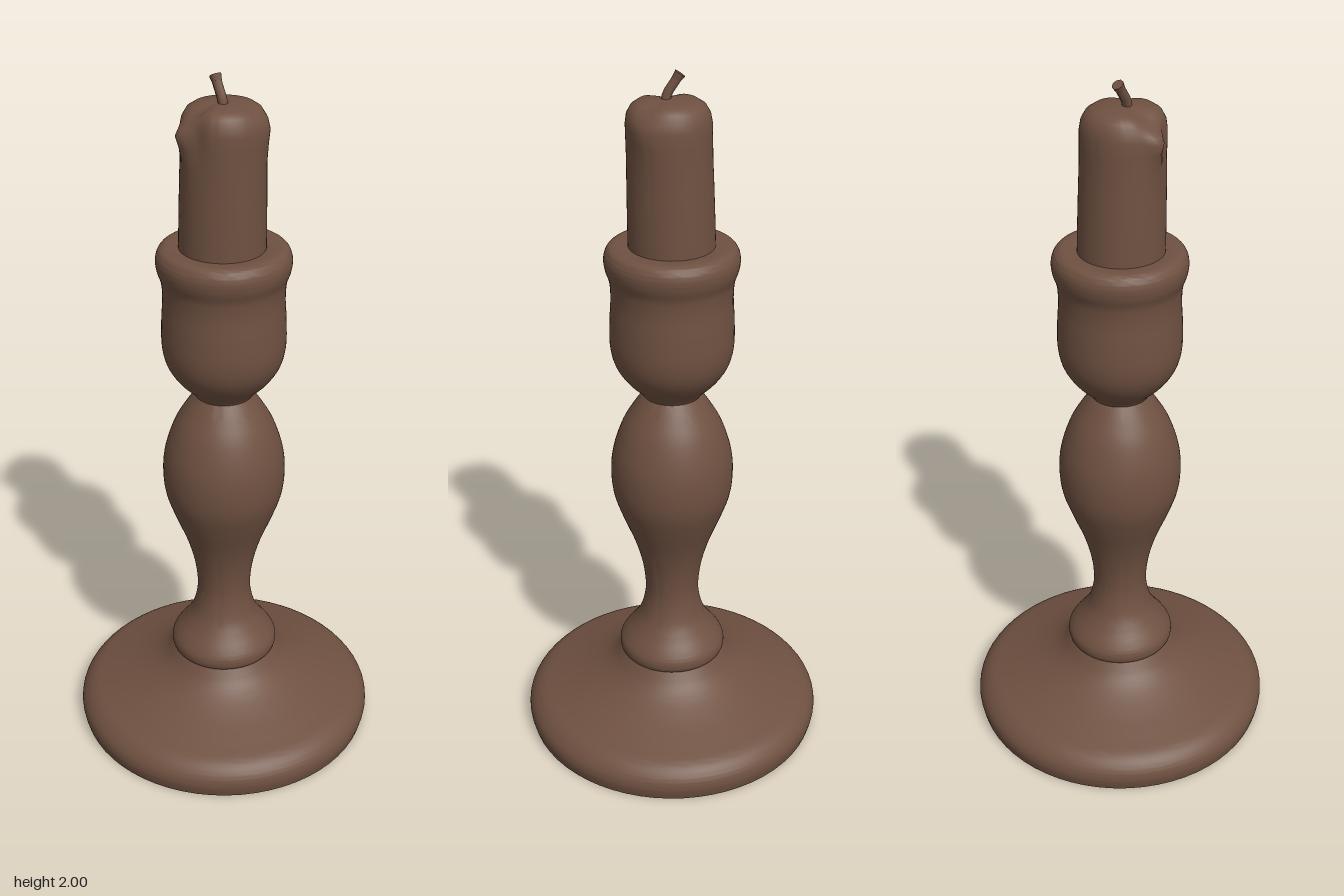
import * as THREE from 'three';
import { toCreasedNormals } from 'three/addons/utils/BufferGeometryUtils.js';

const brown = new THREE.MeshStandardMaterial({ color: 0x6f5141 });
brown.name = 'brown';

const vectors = (list) => list.map(([r, y]) => new THREE.Vector2(r, y));

// Smooth turned shape: a spline through [radius, height] points, closed to the axis at both ends
function turned(points, samples) {
  const curve = new THREE.SplineCurve(vectors(points)).getPoints(samples);
  const profile = [
    new THREE.Vector2(0, points[0][1]),
    ...curve,
    new THREE.Vector2(0, points[points.length - 1][1]),
  ];
  return toCreasedNormals(new THREE.LatheGeometry(profile, 64), 0.75);
}

function addPart(group, name, geometry) {
  const mesh = new THREE.Mesh(geometry, brown);
  mesh.name = name;
  group.add(mesh);
  return mesh;
}

// Candle body: leans a little forward, with wax runs at the top edge
function candleGeometry() {
  const profile = vectors([
    [0.118, 1.5], [0.117, 1.6], [0.115, 1.7], [0.113, 1.78], [0.113, 1.83], [0.113, 1.87],
    [0.109, 1.895], [0.098, 1.915], [0.08, 1.927], [0.05, 1.93], [0.025, 1.932], [0, 1.932],
  ]);
  const geometry = new THREE.LatheGeometry(profile, 64);
  const pos = geometry.attributes.position;
  const bump = (angle, centre, width) => {
    const d = Math.atan2(Math.sin(angle - centre), Math.cos(angle - centre));
    return Math.exp(-(d * d) / (width * width));
  };
  for (let i = 0; i < pos.count; i++) {
    const x = pos.getX(i), y = pos.getY(i), z = pos.getZ(i);
    const angle = Math.atan2(z, x);
    const t = (y - 1.5) / 0.43;
    const edge = Math.min(1, Math.hypot(x, z) / 0.1) ** 2;
    const high = Math.exp(-(((y - 1.87) / 0.05) ** 2)) * edge;
    // wax run at front left corner, a flat beside it, and a small run on the other side
    const swell = 1 + high * (0.2 * bump(angle, 2.5, 0.22) - 0.08 * bump(angle, 2.05, 0.25)
      + 0.07 * bump(angle, 0.1, 0.35));
    const sag = edge * Math.max(0, t - 0.8) * 5
      * (0.03 * bump(angle, 2.5, 0.4) + 0.012 * bump(angle, 0.2, 0.4));
    pos.setXYZ(i, x * swell - 0.004 + 0.006 * t, y - sag, z * swell + 0.002 + 0.008 * t);
  }
  geometry.computeVertexNormals();
  return toCreasedNormals(geometry, 1.0);
}

// Bent wick with a blunt, slightly wider tip
function addWick(group) {
  const path = new THREE.CatmullRomCurve3([
    new THREE.Vector3(0.004, 1.915, 0.02),
    new THREE.Vector3(-0.003, 1.945, 0.015),
    new THREE.Vector3(-0.014, 1.97, 0.003),
    new THREE.Vector3(-0.021, 1.987, -0.006),
  ]);
  addPart(group, 'wick', new THREE.TubeGeometry(path, 10, 0.013, 8, false));
  const tip = addPart(group, 'wickTip', new THREE.CylinderGeometry(0.016, 0.013, 0.018, 8));
  tip.position.set(-0.021, 1.987, -0.006);
  tip.quaternion.setFromUnitVectors(new THREE.Vector3(0, 1, 0), path.getTangent(1));
}

export function createModel() {
  const group = new THREE.Group();
  group.name = 'candlestick';

  // Wide dished foot
  addPart(group, 'foot', turned([
    [0.436, 0], [0.443, 0.035], [0.435, 0.066], [0.405, 0.095], [0.35, 0.115],
    [0.28, 0.14], [0.22, 0.168], [0.18, 0.197], [0.15, 0.235],
  ], 48));

  // Stem: ring, narrow waist, belly and neck
  addPart(group, 'stem', turned([
    [0.144, 0.228], [0.156, 0.243], [0.156, 0.268], [0.142, 0.293], [0.118, 0.325],
    [0.095, 0.365], [0.081, 0.42], [0.079, 0.47], [0.088, 0.54], [0.11, 0.62],
    [0.145, 0.71], [0.168, 0.78], [0.175, 0.85], [0.168, 0.92], [0.142, 1.0],
    [0.108, 1.06], [0.08, 1.1],
  ], 80));

  // Cup with flared rim
  addPart(group, 'cup', turned([
    [0.076, 1.088], [0.092, 1.112], [0.128, 1.148], [0.158, 1.195], [0.171, 1.25],
    [0.171, 1.32], [0.167, 1.39], [0.17, 1.44], [0.181, 1.475], [0.184, 1.505],
    [0.175, 1.53], [0.155, 1.54], [0.11, 1.537],
  ], 64));

  addPart(group, 'candle', candleGeometry());
  addWick(group);
  return group;
}
